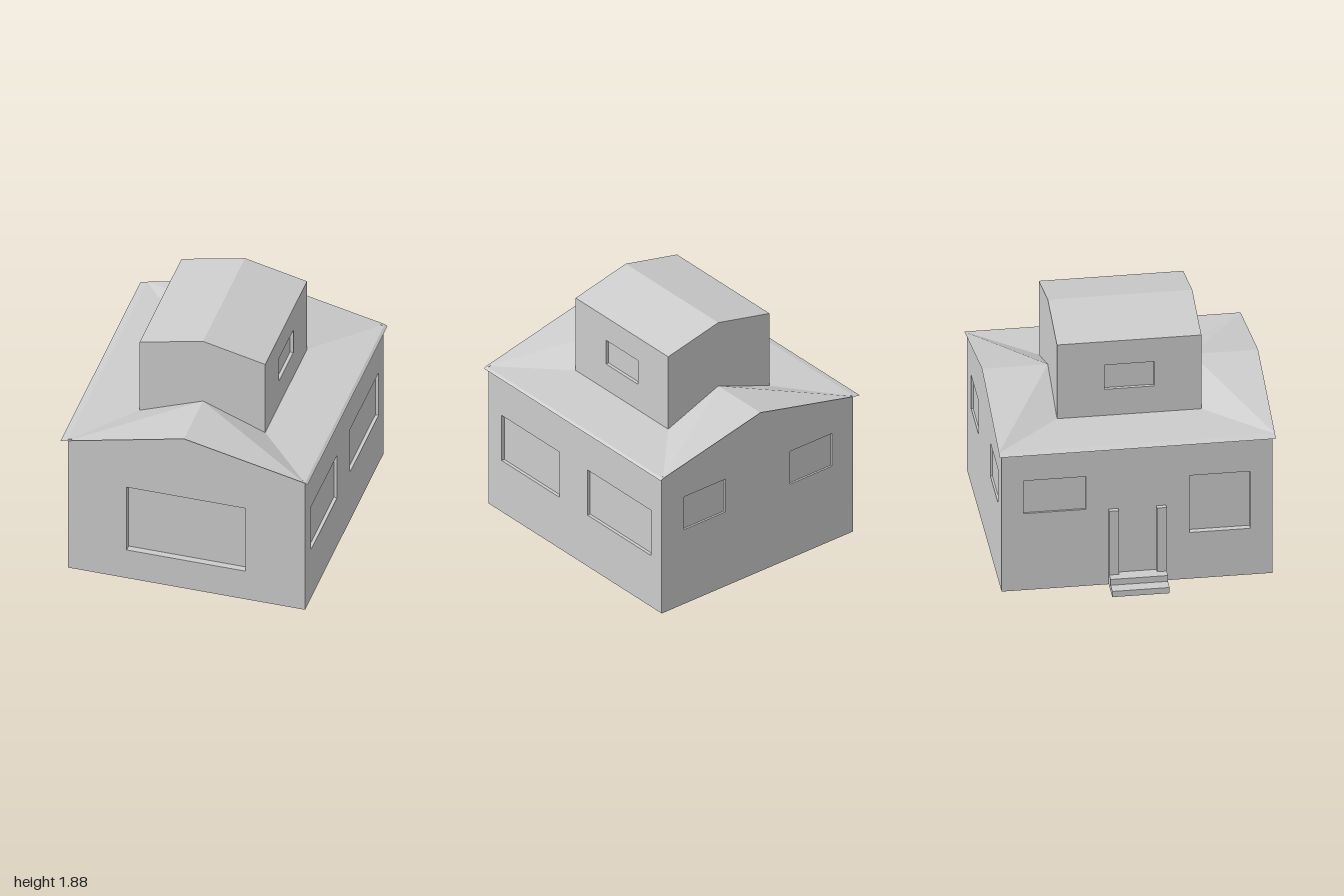
import * as THREE from 'three';

const material = new THREE.MeshStandardMaterial({ color: 0xcccccc, side: THREE.DoubleSide, flatShading: true });

// Mesh from a list of four-cornered faces
function quads(name, faces) {
  const pos = [];
  for (const [a, b, c, d] of faces) pos.push(...a, ...b, ...c, ...a, ...c, ...d);
  const geo = new THREE.BufferGeometry();
  geo.setAttribute('position', new THREE.Float32BufferAttribute(pos, 3));
  geo.computeVertexNormals();
  const mesh = new THREE.Mesh(geo, material);
  mesh.name = name;
  return mesh;
}

// Faces swept from an x,y polyline between two z values
function ribbon(points, z0, z1) {
  const faces = [];
  for (let i = 0; i + 1 < points.length; i++) {
    const [p, q] = [points[i], points[i + 1]];
    faces.push([[...p, z0], [...p, z1], [...q, z1], [...q, z0]]);
  }
  return faces;
}

// Thin wall facing local +z; each window is [u0, u1, v0, v1, depth]
function wall(name, outline, windows, angle, position) {
  const group = new THREE.Group();
  group.name = name;
  const shape = new THREE.Shape(outline.map(p => new THREE.Vector2(...p)));
  for (const [u0, u1, v0, v1, d] of windows) {
    const c = [[u0, v0], [u1, v0], [u1, v1], [u0, v1]];
    shape.holes.push(new THREE.Path([...c].reverse().map(p => new THREE.Vector2(...p))));
    const reveals = c.map((p, i) => {
      const q = c[(i + 1) % 4];
      return [[...p, 0], [...q, 0], [...q, -d], [...p, -d]];
    });
    group.add(quads('windowRecess', [...reveals, c.map(p => [...p, -d])]));
  }
  const panel = new THREE.Mesh(new THREE.ShapeGeometry(shape), material);
  panel.name = 'wallPanel';
  group.add(panel);
  group.rotation.y = angle;
  group.position.set(...position);
  return group;
}

export function createModel() {
  const house = new THREE.Group();
  house.name = 'house';
  const L = -0.81, R = 0.965, Z = 0.98, eave = 1.145, ridge = 1.348, mid = 0.065;
  const uL = -0.41, uR = 0.53, uZ = 0.523, uBase = 1.165, uEave = 1.773, uRidge = 1.88;
  const mirrorX = pts => pts.map(([x, y]) => [-x, y]).reverse();

  // Lower storey walls
  const gable = [[L, 0], [R, 0], [R, eave], [mid, ridge], [L, eave]];
  house.add(wall('frontWall', gable, [[-0.37, 0.52, 0.25, 0.81, 0.05]], 0, [0, 0, Z]));
  house.add(wall('backWall', mirrorX(gable),
    [[-0.76, -0.375, 0.625, 0.9, 0.015], [0.225, 0.615, 0.625, 0.9, 0.015]], Math.PI, [0, 0, -Z]));
  house.add(wall('leftWall', [[-Z, 0], [Z, 0], [Z, eave], [-Z, eave]],
    [[-0.83, -0.175, 0.43, 0.81, 0.025], [0.14, 0.86, 0.43, 0.81, 0.025]], Math.PI / 2, [R, 0, 0]));

  // Right wall is notched behind the hollow door posts and steps
  const s0 = -0.205, s1 = 0.21, postW = 0.07, postTop = 0.62, tread = 0.095;
  house.add(wall('rightWall', [[-Z, 0], [s0, 0], [s0, postTop], [s0 + postW, postTop], [s0 + postW, tread],
    [s1 - postW, tread], [s1 - postW, postTop], [s1, postTop], [s1, 0], [Z, 0], [Z, eave], [-Z, eave]],
  [[-0.82, -0.37, 0.63, 0.9, 0.015], [0.38, 0.82, 0.38, 0.85, 0.045]], -Math.PI / 2, [L, 0, 0]));

  // Door posts
  const px = -0.845;
  for (const z of [s0, s1 - postW]) {
    const sides = [z, z + postW].map(k => [[L, tread, k], [px, tread, k], [px, postTop, k], [L, postTop, k]]);
    house.add(quads('doorPost', [...ribbon([[L, postTop], [px, postTop], [px, tread]], z, z + postW), ...sides]));
  }

  // Entrance steps, open underneath
  const stepSides = [s0, s1].flatMap(z => [
    [[L, 0, z], [-0.91, 0, z], [-0.91, tread, z], [L, tread, z]],
    [[-0.91, 0, z], [-1, 0, z], [-1, 0.047, z], [-0.91, 0.047, z]]]);
  house.add(quads('steps', [
    ...ribbon([[L, tread], [-0.91, tread], [-0.91, 0.047], [-1, 0.047], [-1, 0]], s0, s1), ...stepSides]));

  // Lower roof: side slopes dip to meet the upper storey, gables at front and back
  const roof = [];
  for (const [wallX, eaveX, innerX] of [[L, -0.86, uL], [R + 0.005, 0.99, uR]]) {
    roof.push([[wallX, eave, 1], [wallX, eave, -1], [innerX, uBase, -uZ], [innerX, uBase, uZ]]);
    roof.push([[wallX, eave, 1], [eaveX, 1.133, 1], [eaveX, 1.133, -1], [wallX, eave, -1]]);
    for (const s of [1, -1]) {
      roof.push([[mid, ridge, s * uZ], [mid, ridge, s], [wallX, eave, s], [innerX, uBase, s * uZ]]);
    }
  }
  house.add(quads('lowerRoof', roof));

  // Upper storey
  const upper = new THREE.Group();
  upper.name = 'upperStorey';
  const end = [[uL, uBase], [mid, ridge], [uR, uBase], [uR, uEave], [mid, uRidge], [uL, uEave]];
  const side = [[-uZ, uBase], [uZ, uBase], [uZ, uEave], [-uZ, uEave]];
  const smallWindow = [[-0.18, 0.18, 1.38, 1.58, 0.025]];
  upper.add(wall('upperFrontWall', end, [], 0, [0, 0, uZ]));
  upper.add(wall('upperBackWall', mirrorX(end), [], Math.PI, [0, 0, -uZ]));
  upper.add(wall('upperLeftWall', side, smallWindow, Math.PI / 2, [uR, 0, 0]));
  upper.add(wall('upperRightWall', side, smallWindow, -Math.PI / 2, [uL, 0, 0]));
  upper.add(quads('upperRoof', ribbon([[uR, uEave], [mid, uRidge], [uL, uEave]], -uZ, uZ)));
  house.add(upper);

  return house;
}
